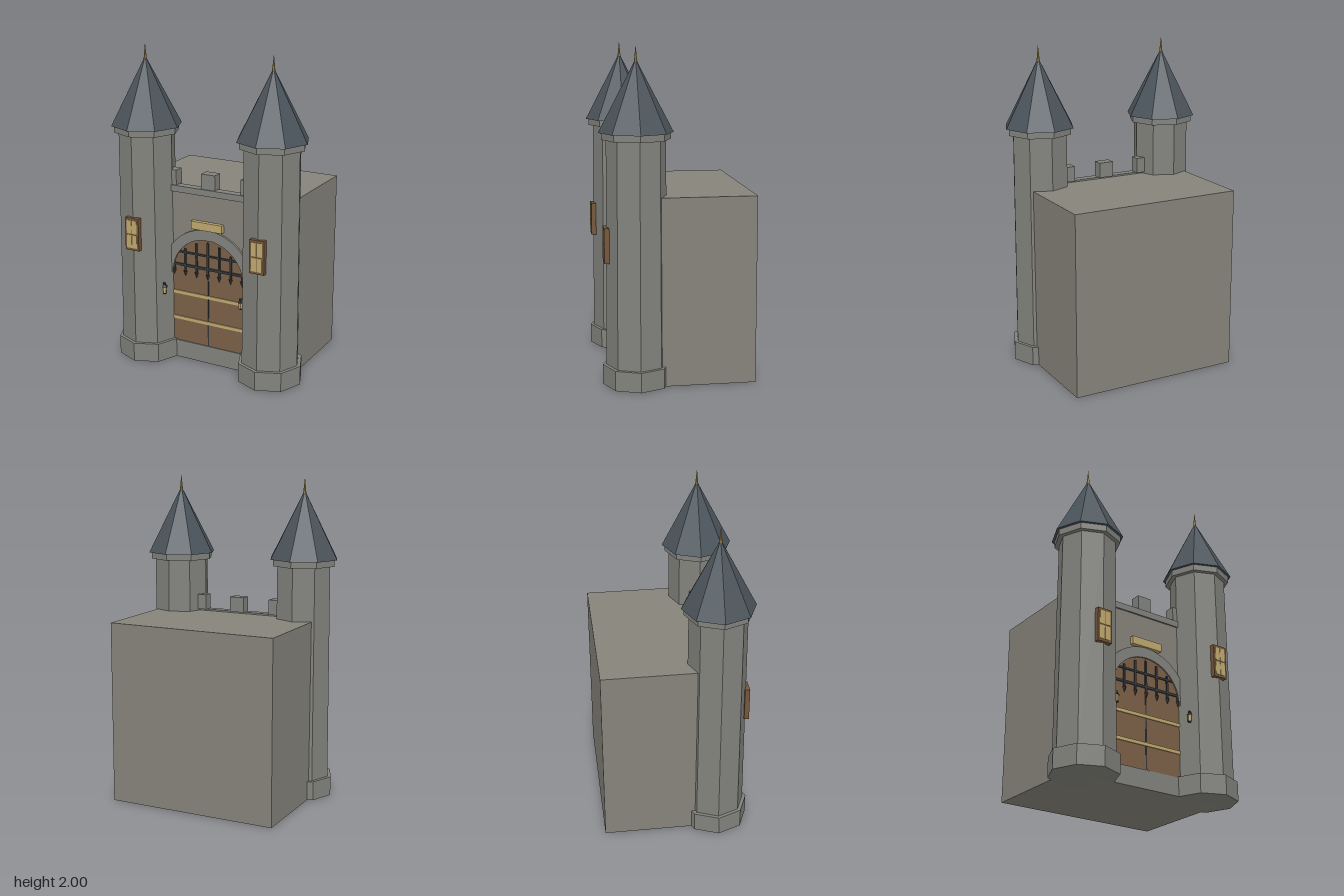
import * as THREE from 'three';

const material = (name, color) => {
  const m = new THREE.MeshStandardMaterial({ color, flatShading: true });
  m.name = name;
  return m;
};

export function createModel() {
  const castle = new THREE.Group();
  castle.name = 'castleGate';
  const wallStone = material('wallStone', 0x86837b);
  const stone = material('towerStone', 0x82827d);
  const slate = material('roofSlate', 0x4b545b);
  const wood = material('doorWood', 0x7c6047);
  const frameWood = material('frameWood', 0x75573a);
  const gold = material('paleGold', 0xbfa96f);
  const finialGold = material('finialGold', 0xa88a48);
  const iron = material('darkIron', 0x33383c);

  const add = (parent, name, geometry, mat, x, y, z) => {
    const mesh = new THREE.Mesh(geometry, mat);
    mesh.name = name;
    mesh.position.set(x, y, z);
    parent.add(mesh);
    return mesh;
  };
  const box = (parent, name, w, h, d, mat, x, y, z) =>
    add(parent, name, new THREE.BoxGeometry(w, h, d), mat, x, y, z);
  // Eight-sided by default, standing on y
  const prism = (parent, name, top, bottom, h, mat, y, sides = 8, x = 0, z = 0) =>
    add(parent, name, new THREE.CylinderGeometry(top, bottom, h, sides), mat, x, y + h / 2, z);

  // Main block, threshold and parapet
  box(castle, 'mainBlock', 1.08, 1.13, 0.7, wallStone, 0, 0.565, -0.11);
  box(castle, 'threshold', 0.6, 0.115, 0.05, stone, 0, 0.0575, 0.227);
  box(castle, 'parapet', 0.6, 0.04, 0.055, stone, 0, 1.12, 0.223);
  for (const x of [-0.27, 0, 0.27]) {
    box(castle, 'merlon', 0.095, 0.095, 0.066, stone, x, 1.1875, 0.21);
  }

  // Arched door and the stone ring over it
  const springY = 0.57, radius = 0.25;
  const doorShape = new THREE.Shape();
  doorShape.moveTo(-radius, 0.115);
  doorShape.lineTo(radius, 0.115);
  doorShape.absarc(0, springY, radius, 0, Math.PI, false);
  doorShape.closePath();
  const extrude = (shape, depth) =>
    new THREE.ExtrudeGeometry(shape, { depth, bevelEnabled: false, curveSegments: 12 });
  add(castle, 'door', extrude(doorShape, 0.007), wood, 0, 0, 0.239);
  const ring = new THREE.Shape();
  ring.absarc(0, springY, 0.315, 0, Math.PI, false);
  ring.absarc(0, springY, radius, Math.PI, 0, true);
  ring.closePath();
  add(castle, 'doorArch', extrude(ring, 0.02), stone, 0, 0, 0.235);
  box(castle, 'doorSeam', 0.008, 0.7, 0.003, iron, 0, 0.467, 0.247);
  for (const y of [0.272, 0.445]) {
    box(castle, 'doorStrap', 0.5, 0.021, 0.007, gold, 0, y, 0.249);
  }
  box(castle, 'signPlate', 0.214, 0.05, 0.03, gold, 0, 0.91, 0.253);

  // Raised portcullis with pointed bars
  const portcullis = new THREE.Group();
  portcullis.name = 'portcullis';
  castle.add(portcullis);
  box(portcullis, 'upperRail', 0.4, 0.012, 0.007, iron, 0, 0.717, 0.25);
  box(portcullis, 'lowerRail', 0.485, 0.016, 0.007, iron, 0, 0.632, 0.25);
  for (let i = -3; i <= 3; i++) {
    const x = i * 0.08;
    const top = Math.max(0.645, springY + Math.sqrt(radius * radius - x * x) - 0.02);
    box(portcullis, 'bar', 0.013, top - 0.59, 0.008, iron, x, (top + 0.59) / 2, 0.25);
    const spike = add(portcullis, 'spike', new THREE.ConeGeometry(0.014, 0.035, 4), iron, x, 0.577, 0.25);
    spike.rotation.x = Math.PI;
  }

  // Mirrored towers
  for (const side of [-1, 1]) {
    const tower = new THREE.Group();
    tower.name = side > 0 ? 'leftTower' : 'rightTower';
    tower.position.set(side * 0.43, 0, 0.24);
    castle.add(tower);
    prism(tower, 'towerBase', 0.204, 0.204, 0.12, stone, 0);
    prism(tower, 'towerShaft', 0.175, 0.182, 1.34, stone, 0.12);
    prism(tower, 'towerCollar', 0.203, 0.203, 0.04, stone, 1.46);
    prism(tower, 'towerRoof', 0, 0.22, 0.42, slate, 1.5);
    prism(tower, 'finial', 0, 0.01, 0.1, finialGold, 1.9, 6);

    // Window: frame, four panes
    const win = new THREE.Group();
    win.name = 'window';
    win.position.set(0, 0.845, 0.18);
    tower.add(win);
    box(win, 'windowFrame', 0.096, 0.208, 0.03, frameWood, 0, 0, -0.001);
    for (const px of [-1, 1]) {
      for (const py of [-1, 1]) {
        box(win, 'windowPane', 0.034, 0.084, 0.004, gold, px * 0.0185, py * 0.0465, 0.0145);
      }
    }

    // Lantern on the face beside the door
    const lantern = new THREE.Group();
    lantern.name = 'lantern';
    lantern.position.set(-side * 0.162, 0, 0.083);
    lantern.rotation.y = -side * 1.178;
    tower.add(lantern);
    box(lantern, 'bracket', 0.01, 0.012, 0.04, iron, 0, 0.512, -0.012);
    prism(lantern, 'lanternCap', 0.004, 0.02, 0.018, iron, 0.493, 4);
    prism(lantern, 'lanternGlass', 0.015, 0.012, 0.038, gold, 0.455, 4);
    prism(lantern, 'lanternFoot', 0.014, 0.01, 0.008, iron, 0.447, 4);
  }
  return castle;
}
